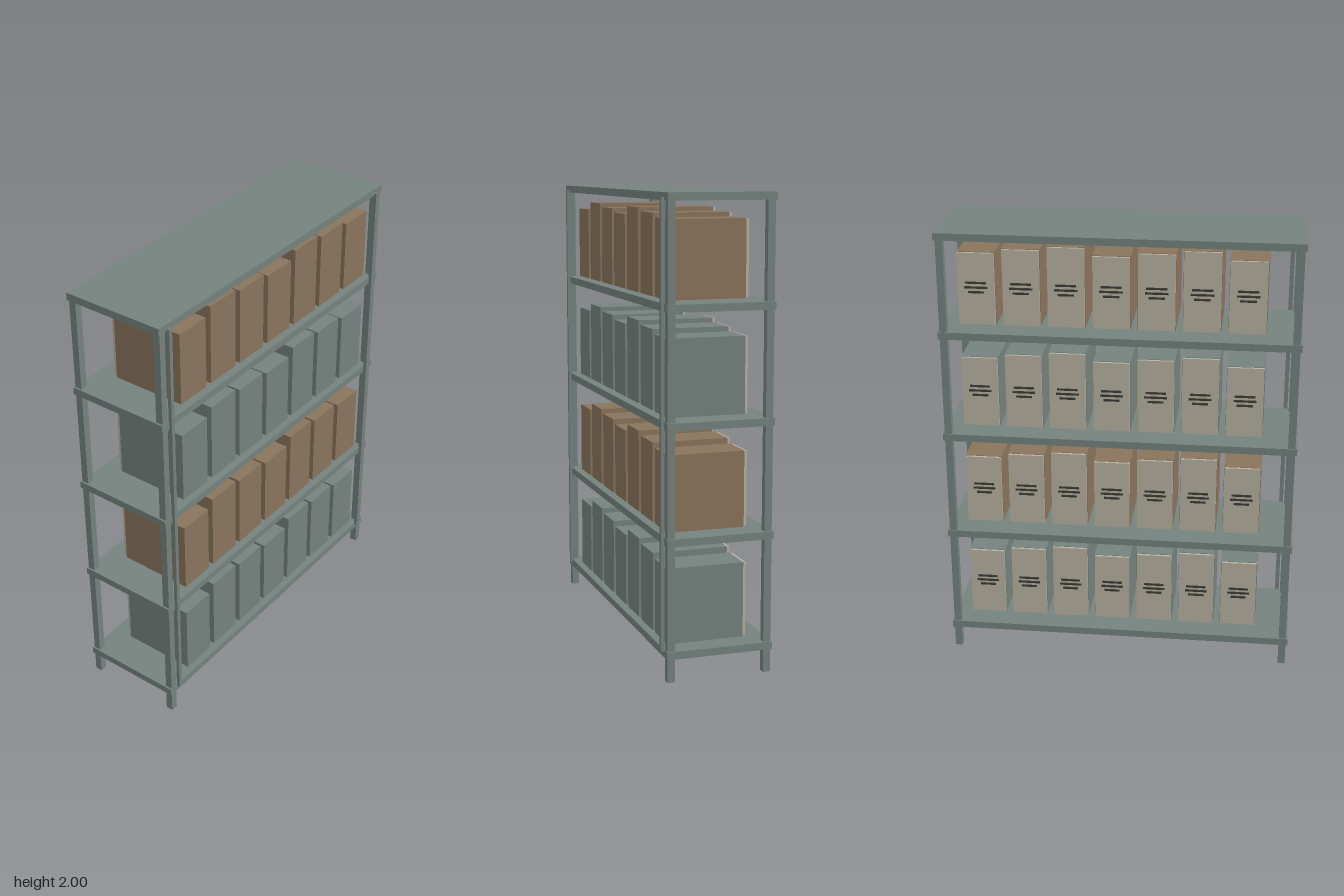
import * as THREE from 'three';

const material = (color) => new THREE.MeshStandardMaterial({ color });

export function createModel() {
  const model = new THREE.Group();
  const steel = material(0x75827e);
  const brown = material(0x8a745c);
  const cream = material(0xb8b2a2);
  const dark = material(0x3a3a36);

  // Box given by its minimum and maximum on each axis
  function slab(name, mat, [x0, x1], [y0, y1], [z0, z1], parent = model) {
    const mesh = new THREE.Mesh(new THREE.BoxGeometry(x1 - x0, y1 - y0, z1 - z0), mat);
    mesh.position.set((x0 + x1) / 2, (y0 + y1) / 2, (z0 + z1) / 2);
    mesh.name = name;
    parent.add(mesh);
  }

  // Shelf boards, the last one being the top
  const shelfTops = [0.132, 0.608, 1.085, 1.561, 2];
  shelfTops.forEach((y) => slab('shelf', steel, [-0.78, 0.78], [y - 0.032, y], [-0.238, 0.225]));

  // Corner posts and the thin rails on the front
  for (const s of [-1, 1]) {
    const x = s * 0.756;
    slab('frontPost', steel, [x - 0.016, x + 0.016], [0, 1.98], [0.19, 0.222]);
    slab('backPost', steel, [x - 0.016, x + 0.016], [0, 1.98], [-0.233, -0.201]);
    const r = s * 0.725;
    slab('frontRail', steel, [r - 0.009, r + 0.009], [0.122, 1.98], [0.222, 0.238]);
  }

  // Archive boxes: seven per shelf, in three repeating heights
  const heights = [0.323, 0.357, 0.341];
  for (let row = 0; row < 4; row++) {
    const bottom = shelfTops[row] + 0.01;
    for (let i = 0; i < 7; i++) {
      const box = new THREE.Group();
      box.name = 'archiveBox';
      box.position.set(-0.545 + i * 0.1945, bottom, 0);
      model.add(box);
      const h = heights[i % 3];
      slab('boxBody', row % 2 ? brown : steel, [-0.082, 0.082], [0, h], [-0.135, 0.2], box);
      slab('backPanel', cream, [-0.08, 0.08], [0.002, h - 0.002], [-0.147, -0.135], box);
      // Plain ruled bars on the back panel
      [0.045, 0.05, 0.035].forEach((w, k) => {
        const y = 0.19 - k * 0.021;
        slab('panelBar', dark, [-w, w], [y - 0.004, y + 0.004], [-0.154, -0.147], box);
      });
    }
  }
  return model;
}
